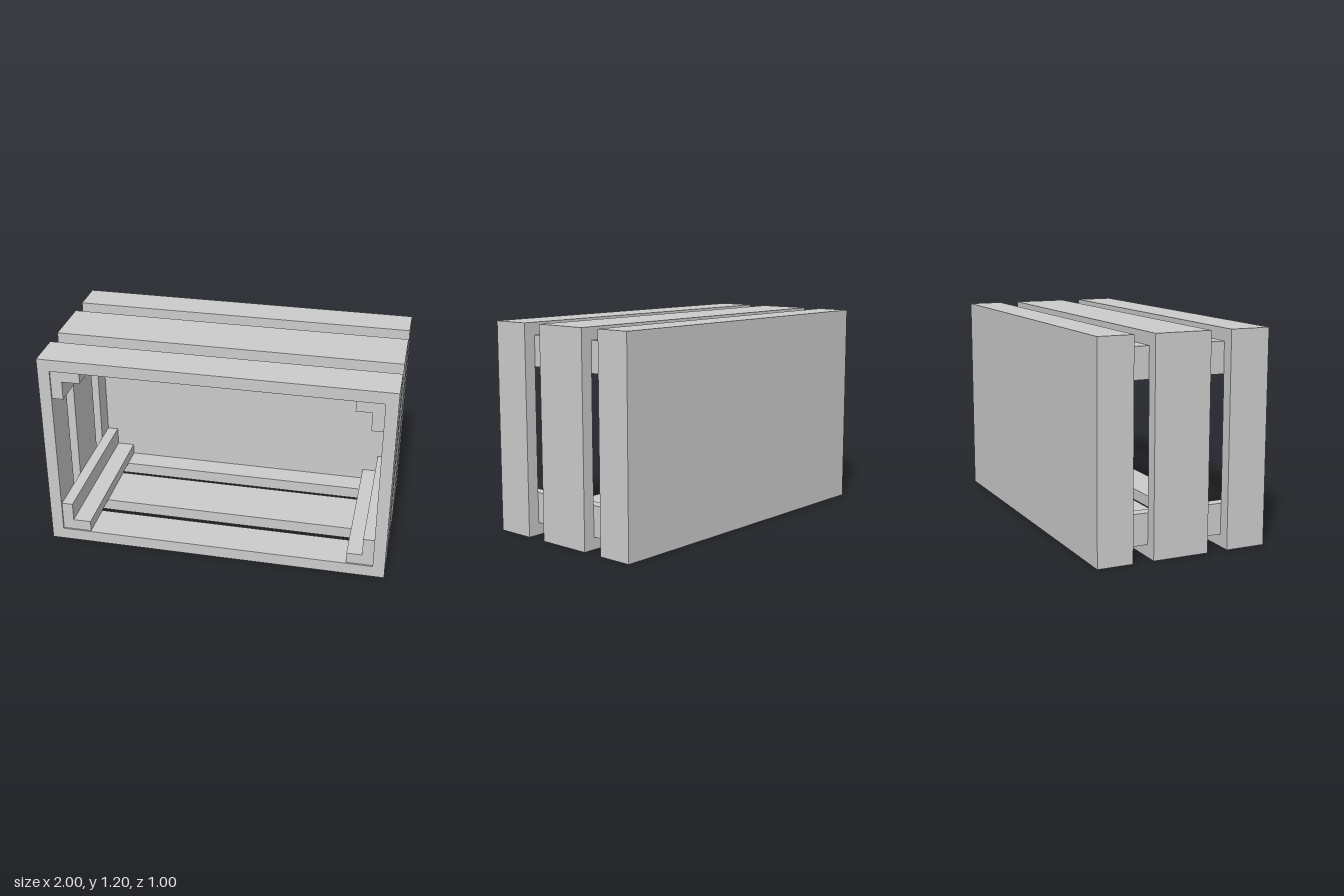
import * as THREE from 'three';

const material = new THREE.MeshStandardMaterial({ color: 0xcccccc, flatShading: true });
const HOLE = { x0: -0.93, x1: 0.93, y0: 0.07, y1: 1.13 };

function polygon(Type, points) {
  return new Type(points.map(([x, y]) => new THREE.Vector2(x, y)));
}

function rect(Type, x0, x1, y0, y1) {
  return polygon(Type, [[x0, y0], [x1, y0], [x1, y1], [x0, y1]]);
}

// Extrude a front-facing outline between two depths
function extrude(name, shape, zBack, zFront) {
  const geometry = new THREE.ExtrudeGeometry(shape, { depth: zFront - zBack, bevelEnabled: false });
  geometry.translate(0, 0, zBack);
  const mesh = new THREE.Mesh(geometry, material);
  mesh.name = name;
  return mesh;
}

function frame(name, zBack, zFront) {
  const shape = rect(THREE.Shape, -1, 1, 0, 1.2);
  shape.holes.push(rect(THREE.Path, HOLE.x0, HOLE.x1, HOLE.y0, HOLE.y1));
  return extrude(name, shape, zBack, zFront);
}

export function createModel() {
  const crate = new THREE.Group();
  crate.name = 'crate';

  // Three slatted rings, the rear one closed by a panel
  crate.add(frame('frontFrame', 0.27, 0.5));
  crate.add(frame('middleFrame', -0.175, 0.15));
  crate.add(frame('backFrame', -0.43, -0.295));
  crate.add(extrude('backPanel', rect(THREE.Shape, -1, 1, 0, 1.2), -0.5, -0.43));

  // L-section rails joining the rings in each inner corner
  for (const side of [-1, 1]) {
    const outer = side * 0.93;
    const inner = side < 0 ? -0.865 : 0.865;
    const tip = side < 0 ? -0.76 : 0.775;
    for (const top of [false, true]) {
      const y = (d) => (top ? HOLE.y1 - d : HOLE.y0 + d);
      const shape = polygon(THREE.Shape, [
        [outer, y(0)], [tip, y(0)], [tip, y(0.065)],
        [inner, y(0.065)], [inner, y(0.175)], [outer, y(0.175)],
      ]);
      const name = (top ? 'top' : 'bottom') + (side < 0 ? 'Right' : 'Left') + 'CornerRail';
      crate.add(extrude(name, shape, -0.43, 0.49));
    }
  }
  return crate;
}
